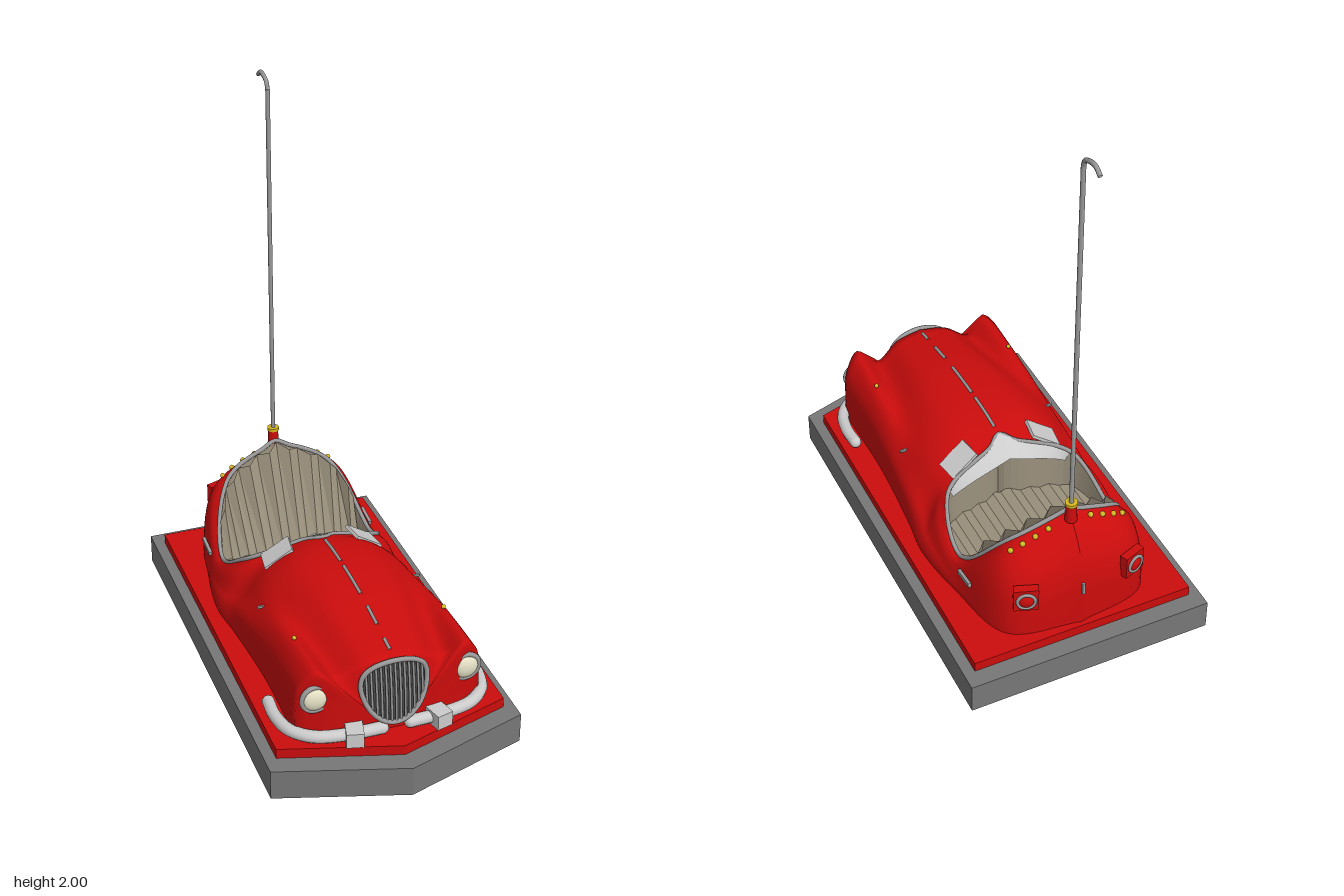
import * as THREE from 'three';

const mat = (color, extra = {}) => new THREE.MeshStandardMaterial({ color, side: THREE.DoubleSide, ...extra });
const red = mat(0xcc0c0c), rubber = mat(0x777777), chrome = mat(0x999999), pale = mat(0xcccccc);
const beige = mat(0x9c927e, { flatShading: true }), gold = mat(0xd8b820), cream = mat(0xe8e4c8), dark = mat(0x444444);
const V = (x, y, z) => new THREE.Vector3(x, y, z);
const curve = (pts, closed = false) => new THREE.CatmullRomCurve3(pts, closed);

function mesh(name, geometry, material, x = 0, y = 0, z = 0) {
  const m = new THREE.Mesh(geometry, material);
  m.name = name;
  m.position.set(x, y, z);
  return m;
}

// Surface from a rule fn(u, v) -> Vector3, u and v in 0..1
function grid(fn, nu, nv) {
  const pos = [], idx = [];
  for (let i = 0; i <= nu; i++) for (let j = 0; j <= nv; j++) {
    pos.push(...fn(i / nu, j / nv).toArray());
    if (i < nu && j < nv) {
      const a = i * (nv + 1) + j, b = a + nv + 1;
      idx.push(a, b, a + 1, b, b + 1, a + 1);
    }
  }
  const g = new THREE.BufferGeometry();
  g.setAttribute('position', new THREE.Float32BufferAttribute(pos, 3));
  g.setIndex(idx);
  g.computeVertexNormals();
  return g;
}

const tube = (pts, r, n = 32, closed = false, sides = 8) =>
  new THREE.TubeGeometry(curve(pts, closed), n, r, sides, closed);

// Left body half: t runs 0..12 from nose to tail centre.
// The flank is the lower guide, the crest is the hood centre and then the cockpit rim.
const flankCurve = curve([V(.33, 0, .58), V(.325, 0, .25), V(.345, 0, -.06), V(.36, 0, -.21), V(.33, 0, -.43), V(.255, 0, -.685), V(0, 0, -.745)]);
const crestCurve = curve([V(0, .43, .62), V(0, .48, .25), V(0, .465, -.08), V(.24, .37, -.18), V(.29, .26, -.38), V(.2, .47, -.575), V(0, .57, -.62)]);
// Fractions of the way in and up from flank to crest: fender side, fender crown, valley, shoulder
const profiles = [
  [V(.045, .63), V(.015, .28), V(.08, .16), V(.06, .2), V(.05, .36)],
  [V(.21, .95), V(.12, .49), V(.23, .29), V(.12, .44), V(.1, .62)],
  [V(.42, .66), V(.28, .7), V(.5, .63), V(.2, .68), V(.25, .82)],
  [V(.7, .92), V(.57, .93), V(.81, .84), V(.4, .88), V(.55, .95)],
].map((p) => curve(p.map((q) => q.setZ(0))));

function rim(t) {
  const p = crestCurve.getPoint(t / 12);
  p.x = Math.max(0, p.x);
  return p;
}

function sectionPoints(t) {
  const low = flankCurve.getPoint(t / 12), top = rim(t);
  low.y = .165 + .07 * ((t - 8) / (t < 8 ? 8 : 4)) ** 2;
  const between = profiles.map((c) => {
    const f = c.getPoint(t / 12);
    return V(low.x + (top.x - low.x) * f.x, low.y + (top.y - low.y) * f.y, low.z + (top.z - low.z) * f.y ** 3);
  });
  return [V(low.x, .14, low.z), low, ...between, top];
}

function bodyHalf() {
  const cap = 10, rows = [], first = curve(sectionPoints(0));
  // Rounded nose: the first section shrinks to the foot of the nose
  for (let i = 0; i < cap; i++) {
    const s = i / cap;
    rows.push((v) => {
      const p = first.getPoint(v);
      return V(p.x * s, .14 + (p.y - .14) * s, .64 + (p.z - .64) * s ** 3);
    });
  }
  for (let t = 0; t <= 72; t++) {
    const c = curve(sectionPoints(t / 6));
    rows.push((v) => c.getPoint(v));
  }
  return grid((u, v) => {
    const p = rows[Math.round(u * (rows.length - 1))](v);
    p.x = Math.max(0, p.x);
    return p;
  }, rows.length - 1, 30);
}

// Pentagonal slab with a pointed front
function slab(w, back, front, tip, h) {
  const s = new THREE.Shape();
  s.moveTo(-w, -back).lineTo(-w, -front).lineTo(0, -tip).lineTo(w, -front).lineTo(w, -back);
  return new THREE.ExtrudeGeometry(s, { depth: h, bevelEnabled: false }).rotateX(-Math.PI / 2);
}

function buildSide() {
  const g = new THREE.Group();
  g.add(mesh('bodyShell', bodyHalf(), red));
  // Cockpit inner wall
  g.add(mesh('cockpitWall', grid((u, v) => {
    const p = rim(4 + 8 * u);
    return V(p.x * (1 - .03 * v), p.y + (.18 - p.y) * v, p.z);
  }, 40, 1), beige));
  // Dash panel hanging from the front rim, and its side tab
  g.add(mesh('dashPanel', grid((u, v) => {
    const p = rim(4 + 2 * u).add(V(0, .008, 0));
    return p.lerp(V(p.x * .92, p.y - .05, -.175), v);
  }, 16, 1), pale));
  const tab = mesh('dashTab', new THREE.BoxGeometry(.12, .012, .09), pale, .165, .422, -.1);
  tab.rotation.set(0, .15, -.6);
  g.add(tab);
  // Headlight
  g.add(mesh('headlightRing', new THREE.TorusGeometry(.047, .009, 10, 28), chrome, .268, .312, .608));
  const lens = mesh('headlightLens', new THREE.SphereGeometry(.046, 24, 16), cream, .268, .312, .605);
  lens.scale.z = .5;
  g.add(lens);
  // Front bumper bar and bracket
  const bar = [V(.365, .175, .4), V(.368, .175, .48), V(.345, .175, .57), V(.28, .175, .63), V(.17, .175, .655), V(.05, .175, .66)];
  g.add(mesh('bumperBar', tube(bar, .022, 36, false, 12), pale));
  for (const p of [bar[0], bar[5]]) g.add(mesh('bumperEnd', new THREE.SphereGeometry(.022, 12, 8), pale, p.x, p.y, p.z));
  const bracket = mesh('bumperBracket', new THREE.BoxGeometry(.06, .055, .085), pale, .15, .177, .66);
  bracket.rotation.y = .25;
  g.add(bracket);
  // Tail light on a square plate
  const tail = new THREE.Group();
  tail.name = 'tailLight';
  tail.add(mesh('tailPlate', new THREE.BoxGeometry(.085, .09, .03), red));
  tail.add(mesh('tailRing', new THREE.TorusGeometry(.03, .006, 8, 24), chrome, 0, 0, .018));
  const bulb = mesh('tailLens', new THREE.SphereGeometry(.028, 16, 10), red, 0, 0, .014);
  bulb.scale.z = .5;
  tail.add(bulb);
  tail.position.set(.2, .325, -.715);
  tail.rotation.y = Math.PI - .35;
  g.add(tail);
  // Gold studs over the tail and on the fender
  for (let i = 0; i < 4; i++) {
    const p = sectionPoints(11.35 - .37 * i)[5];
    g.add(mesh('stud', new THREE.SphereGeometry(.01, 10, 8), gold, p.x, p.y + .003, p.z));
  }
  g.add(mesh('fenderStud', new THREE.SphereGeometry(.008, 10, 8), gold, .27, .417, .4));
  // Small side trims
  const handle = mesh('sideHandle', new THREE.BoxGeometry(.012, .016, .09), chrome, .318, .25, -.48);
  handle.rotation.x = .15;
  g.add(handle);
  g.add(mesh('fenderTrim', new THREE.BoxGeometry(.04, .008, .008), chrome, .285, .35, .1));
  return g;
}

function buildGrille() {
  const g = new THREE.Group();
  g.name = 'grille';
  const depth = (x, y) => .664 - 1.3 * x * x - .16 * Math.max(0, y - .25);
  // Shield outline: height limits at a given x, narrowing to the bottom
  const limits = (x) => {
    const k = Math.sqrt(Math.max(0, 1 - (x / .118) ** 2));
    return [.335 - .145 * k ** 1.2, .335 + .087 * k ** .8];
  };
  const onFace = (x, y, back = 0) => V(x, y, depth(x, y) - back);
  const frame = [];
  for (let i = 0; i < 32; i++) {
    const a = i / 16 * Math.PI, x = .118 * Math.cos(a);
    frame.push(onFace(x, limits(x)[Math.sin(a) > 0 ? 1 : 0]));
  }
  g.add(mesh('grilleFrame', tube(frame, .009, 80, true), chrome));
  g.add(mesh('grilleBack', grid((u, v) => {
    const x = (u - .5) * .23, [a, b] = limits(x);
    return onFace(x, a + (b - a) * v, .012);
  }, 20, 6), dark));
  for (let i = -6; i <= 6; i++) {
    const x = i * .0165, [a, b] = limits(x);
    g.add(mesh('grilleBar', tube([a, (a + b) / 2, b].map((y) => onFace(x, y)), .0048, 6, false, 6), chrome));
  }
  return g;
}

export function createModel() {
  const car = new THREE.Group();
  car.name = 'bumperCar';
  car.add(mesh('rubberBase', slab(.45, -.825, .68, .82, .112), rubber));
  car.add(mesh('floorPlate', slab(.41, -.762, .62, .745, .037), red, 0, .112, 0));

  const left = buildSide();
  left.name = 'leftSide';
  const right = left.clone();
  right.name = 'rightSide';
  right.scale.x = -1;
  car.add(left, right, buildGrille());

  // Trim around the cockpit
  const rimPts = [];
  for (let t = 4; t <= 12; t += .5) rimPts.push(rim(t));
  const mirrored = rimPts.slice(1, -1).reverse().map((p) => V(-p.x, p.y, p.z));
  car.add(mesh('cockpitTrim', tube([...rimPts, ...mirrored], .008, 120, true), chrome));

  // Fluted seat cushion and back
  const flutes = 16, zig = (u) => Math.round(u * flutes) % 2;
  car.add(mesh('seatCushion', grid((u, v) => V((u - .5) * .55, .2 + .012 * zig(u), -.1 - .33 * v), flutes, 1), beige));
  car.add(mesh('seatBack', grid((u, v) => {
    const s = u * 2 - 1, top = rim(12 - 3 * Math.abs(s));
    top.x *= Math.sign(s);
    top.z += .012 + .035 * zig(u);
    return V(s * .27, .19, -.43 + .015 * zig(u)).lerp(top, v);
  }, flutes, 1), beige));

  // Strips along the hood
  for (const [a, b] of [[.15, .45], [.8, 1.3], [1.65, 2.6], [2.75, 3.75]]) {
    car.add(mesh('hoodStrip', tube([a, (a + b) / 2, b].map(rim), .006, 10), chrome));
  }
  car.add(mesh('rearStrip', new THREE.BoxGeometry(.01, .045, .012), chrome, 0, .31, -.745));

  // Pole with collar and hooked tip
  car.add(mesh('poleCollar', new THREE.CylinderGeometry(.018, .022, .07, 16), red, 0, .575, -.64));
  car.add(mesh('poleRing', new THREE.CylinderGeometry(.022, .022, .012, 16), gold, 0, .613, -.64));
  car.add(mesh('pole', new THREE.CylinderGeometry(.008, .008, 1.35, 12), chrome, 0, 1.28, -.64));
  car.add(mesh('poleHook', tube([V(0, 1.95, -.64), V(0, 1.975, -.65), V(0, 1.99, -.685), V(0, 1.992, -.715), V(0, 1.975, -.742)], .008, 24), chrome));
  return car;
}
